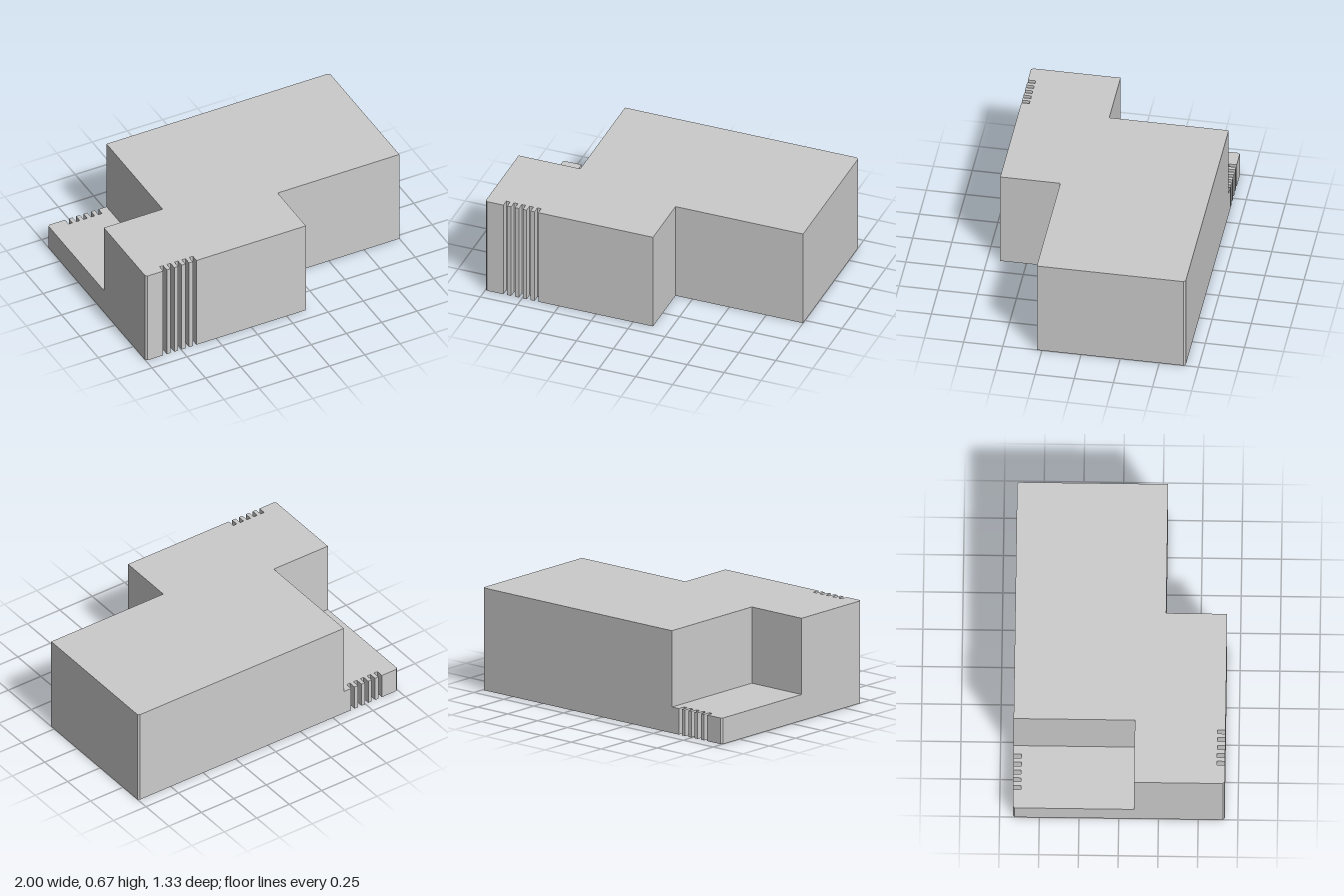
import * as THREE from 'three';

const HEIGHT = 0.667, LEDGE = 0.17; // full height, height of the cut-out floor
const Z = 0.667, CHAMFER = 0.012;
const GROOVES = 5, START = -0.877, WIDTH = 0.0263, DEPTH = 0.05;

// Plan points [x, z] of a row of grooves cut into the edge at z, from left to right
function grooveRow(z) {
  const inner = z - Math.sign(z) * DEPTH;
  const points = [];
  for (let i = 0; i < GROOVES; i++) {
    const a = START + i * 2 * WIDTH, b = a + WIDTH;
    points.push([a, z], [a, inner], [b, inner], [b, z]);
  }
  return points;
}

// Upright block from a plan outline, between two heights
function block(name, plan, y0, y1, material) {
  const shape = new THREE.Shape(plan.map(([x, z]) => new THREE.Vector2(x, -z)));
  const geometry = new THREE.ExtrudeGeometry(shape, { depth: y1 - y0, bevelEnabled: false });
  geometry.rotateX(-Math.PI / 2);
  geometry.translate(0, y0, 0);
  const mesh = new THREE.Mesh(geometry, material);
  mesh.name = name;
  return mesh;
}

export function createModel() {
  const group = new THREE.Group();
  group.name = 'steppedBlock';
  const material = new THREE.MeshStandardMaterial({ color: 0xcccccc, flatShading: true });

  // Shared outline: grooved front edge, stepped front corner, chamfered back corner
  const outline = [
    [-1, Z - CHAMFER], [-1 + CHAMFER, Z],
    ...grooveRow(Z),
    [0.136, Z], [0.136, 0.283], [1, 0.283],
    [1, -Z + CHAMFER], [1 - CHAMFER, -Z],
  ];

  // Lower layer reaches the back corner, with grooves in its back edge
  const basePlan = [...outline, ...grooveRow(-Z).reverse(), [-1 + CHAMFER, -Z], [-1, -Z + CHAMFER]];
  group.add(block('base', basePlan, 0, LEDGE, material));

  // Upper layer leaves the back corner open above the ledge
  const bodyPlan = [...outline, [-0.583, -Z], [-0.583, 0.096], [-1, 0.096]];
  group.add(block('upperBody', bodyPlan, LEDGE, HEIGHT, material));

  return group;
}
